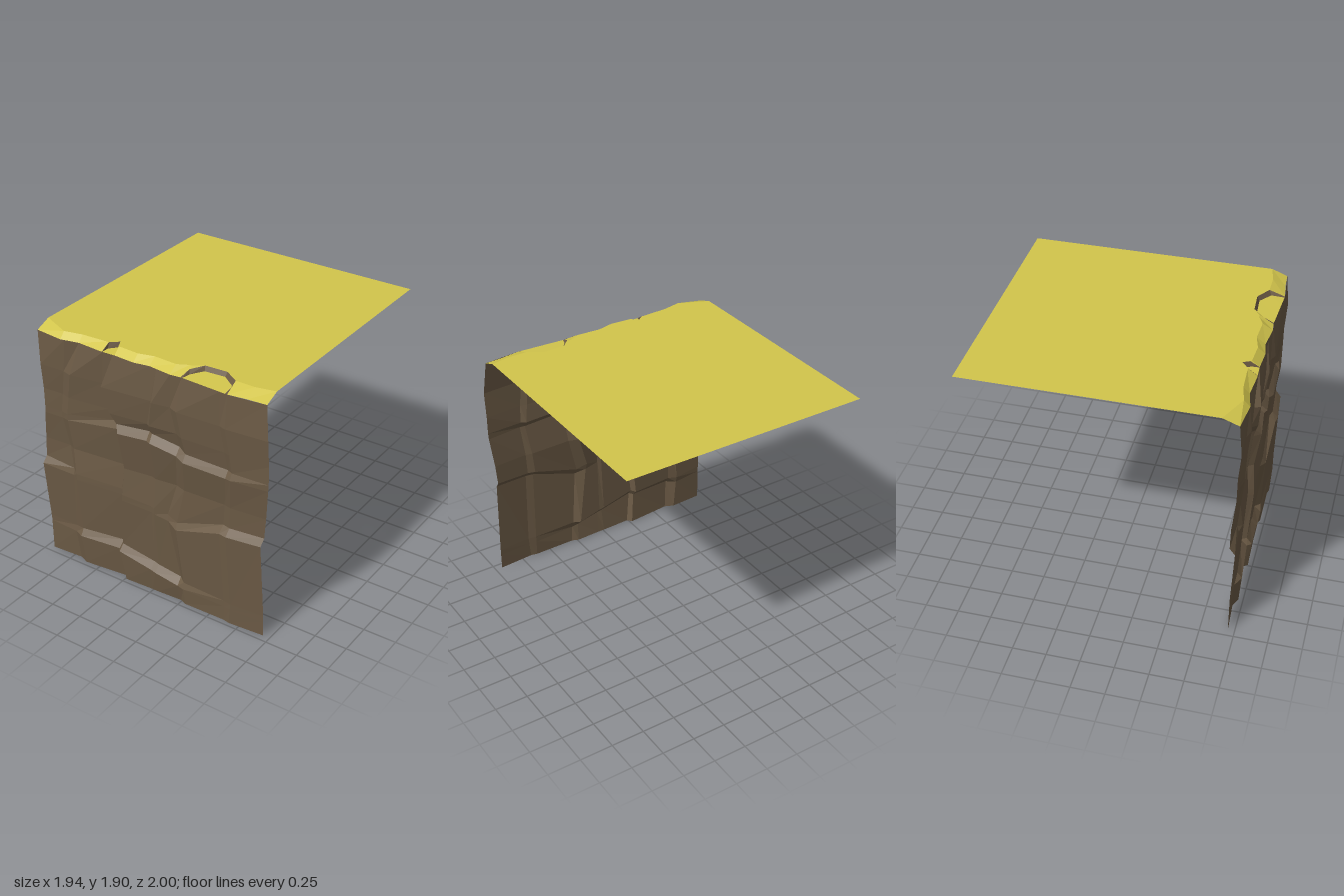
import * as THREE from 'three';

const rock = new THREE.MeshStandardMaterial({ color: 0x6b5a45, flatShading: true, side: THREE.DoubleSide });
const grass = new THREE.MeshStandardMaterial({ color: 0xd2c54c, flatShading: true, side: THREE.DoubleSide });

const lerp = THREE.MathUtils.lerp;

// Piecewise linear lookup of vs over the increasing stops ts
function sample(ts, vs, t) {
  let i = 0;
  while (i < ts.length - 2 && t > ts[i + 1]) i++;
  const k = THREE.MathUtils.clamp((t - ts[i]) / (ts[i + 1] - ts[i]), 0, 1);
  return lerp(vs[i], vs[i + 1], k);
}

// Skin a list of equally long cross-sections, ordered along +x
function loft(name, sections, material) {
  const rows = sections[0].length, index = [];
  for (let i = 0; i < sections.length - 1; i++) {
    for (let j = 0; j < rows - 1; j++) {
      const a = i * rows + j, b = a + rows;
      index.push(a, b, b + 1, a, b + 1, a + 1);
    }
  }
  const g = new THREE.BufferGeometry();
  g.setAttribute('position', new THREE.Float32BufferAttribute(sections.flat(2), 3));
  g.setIndex(index);
  const flat = g.toNonIndexed();
  flat.computeVertexNormals();
  const mesh = new THREE.Mesh(flat, material);
  mesh.name = name;
  return mesh;
}

// Front edge of the turf: where it meets the rock, and where it becomes level
const edgeX = [-0.945, -0.72, -0.58, -0.38, -0.26, -0.1, 0.02, 0.2, 0.28, 0.66, 0.8, 0.945];
const frontZ = [0.95, 0.975, 0.945, 0.96, 0.955, 0.965, 0.945, 0.965, 0.955, 0.975, 0.955, 0.945];
const crestZ = [0.83, 0.93, 0.9, 0.89, 0.9, 0.91, 0.88, 0.89, 0.85, 0.86, 0.86, 0.83];
const lipY = 1.855, topY = 1.9;
const front = x => sample(edgeX, frontZ, x);
const crest = x => sample(edgeX, crestZ, x);

// Seams of the cliff: x at each level, then depth at the foot and at the top
const levels = [0, 0.25, 0.75, 1.0, 1.24, 1.38, 1.6, 1.855];
const seams = [
  { x: [-0.945, -0.945, -0.97, -0.955, -0.925, -0.925, -0.925, -0.945], z: [0.95, 0.955] },
  { x: [-0.69, -0.72, -0.7, -0.74, -0.78, -0.76, -0.72, -0.69], z: [0.935, 0.95] },
  { x: [-0.62, -0.64, -0.66, -0.69, -0.71, -0.69, -0.65, -0.58], z: [0.965, 0.97] },
  { x: [-0.27, -0.3, -0.27, -0.25, -0.26, -0.35, -0.39, -0.36], z: [0.93, 0.935] },
  { x: [-0.24, -0.275, -0.24, -0.222, -0.22, -0.31, -0.365, -0.28], z: [0.965, 0.985] },
  { x: [-0.01, 0, 0, 0, 0, -0.02, 0.03, 0.02], z: [0.955, 0.945] },
  { x: [0.04, 0.04, 0.03, 0.04, 0.04, 0.01, 0.05, 0.08], z: [0.955, 0.97] },
  { x: [0.24, 0.22, 0.13, 0.22, 0.24, 0.23, 0.19, 0.2], z: [0.945, 0.945] },
  { x: [0.29, 0.27, 0.22, 0.3, 0.31, 0.29, 0.26, 0.29], z: [0.965, 0.975] },
  { x: [0.62, 0.62, 0.6, 0.62, 0.65, 0.63, 0.6, 0.6], z: [0.96, 0.96] },
  { x: [0.67, 0.69, 0.66, 0.67, 0.69, 0.68, 0.65, 0.66], z: [0.97, 0.975] },
  { x: [0.945, 0.945, 0.925, 0.945, 0.97, 0.97, 0.97, 0.945], z: [0.95, 0.95] },
];

// Horizontal ledges: height and strength at each seam
const ledges = [
  { y: [0.25, 0.23, 0.24, 0.25, 0.25, 0.19, 0.18, 0.14, 0.13, 0.12, 0.12, 0.12],
    s: [0, 0.2, 0.7, 1, 0.8, 0.9, 0.9, 1, 0.3, 0, 0, 0] },
  { y: [0.76, 0.74, 0.72, 0.72, 0.7, 0.68, 0.68, 0.66, 0.63, 0.75, 0.75, 0.76],
    s: [0.8, 0.3, 0, 0, 0, 0, 0, 0.2, 0.5, 1, 0.9, 0.8] },
  { y: [1.2, 1.2, 1.21, 1.27, 1.27, 1.28, 1.28, 1.24, 1.22, 1.21, 1.21, 1.21],
    s: [0, 0, 0, 0.5, 0.8, 1, 1, 1, 0.8, 0.7, 0.4, 0] },
];

function cliffSection(seam, i) {
  const point = (y, dz) => [sample(levels, seam.x, y), y,
    THREE.MathUtils.clamp(lerp(seam.z[0], seam.z[1], y / lipY) + dz, 0.905, 1)];
  const step = k => {
    const { y, s } = ledges[k];
    return [point(y[i], 0.025 * s[i]), point(y[i] + 0.05, -0.025 * s[i])];
  };
  const xTop = seam.x[7];
  return [point(0, 0), ...step(0), ...step(1), point(0.97, -0.02), ...step(2),
    point(1.4, 0), point(1.6, 0.015), [xTop, lipY, front(xTop)]];
}

// Turf section from front to back; cut is the z where a notch bites into it
function turfSection(x, cut = front(x)) {
  const c = Math.min(crest(x), cut);
  return [[x, turfY(x, cut), cut], [x, topY, c], [x, topY, -1]];
}
function turfY(x, z) {
  return sample([crest(x), front(x)], [topY, lipY], z);
}

// Worn notches in the turf edge, each an arc of [x, z]
const notches = [
  [[-0.37, 0.96], [-0.36, 0.89], [-0.3, 0.84], [-0.275, 0.89], [-0.265, 0.955]],
  [[0.28, 0.955], [0.3, 0.88], [0.37, 0.8], [0.54, 0.79], [0.65, 0.86], [0.66, 0.975]],
];

export function createModel() {
  const model = new THREE.Group();
  model.name = 'cliffTile';
  model.add(loft('cliffFace', seams.map(cliffSection), rock));

  // Turf with the notches cut out
  const outside = edgeX.filter(x => !notches.some(n => x >= n[0][0] && x <= n[n.length - 1][0]));
  const sections = outside.map(x => turfSection(x));
  for (const n of notches) sections.push(...n.map(([x, z]) => turfSection(x, z)));
  sections.sort((a, b) => a[0][0] - b[0][0]);
  model.add(loft('turf', sections, grass));

  // Rock step and sunken turf floor of each notch
  for (const n of notches) {
    const mid = (n[0][0] + n[n.length - 1][0]) / 2;
    const inner = n.map(([x, z]) => {
      const f = front(x), k = (f - z) / 0.15;
      return [lerp(x, mid, 0.08), lipY + 0.012 * Math.max(0, k), Math.min(f, z + 0.018)];
    });
    model.add(loft('notchStep', n.map(([x, z], i) => [inner[i], [x, turfY(x, z), z]]), rock));
    model.add(loft('notchFloor', inner.map(p => [[p[0], lipY, front(p[0])], p]), grass));
  }
  return model;
}
